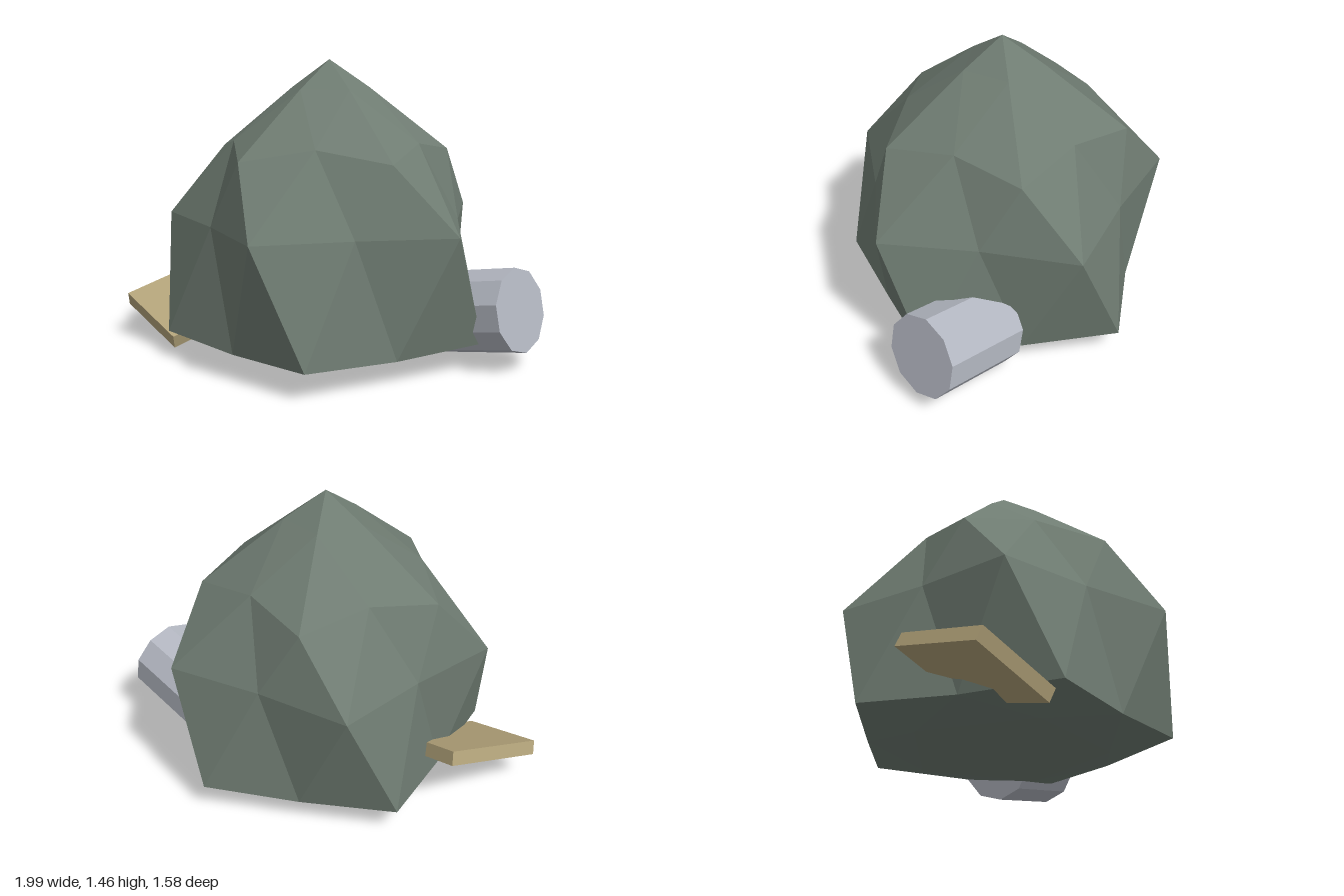
import * as THREE from 'three';

const flat = (name, color) => {
  const m = new THREE.MeshStandardMaterial({ color, flatShading: true });
  m.name = name;
  return m;
};

// Point on a ring: azimuth in degrees from +x towards +z
const OFFSET_Z = 0.015;
const ringPoint = (r, y, deg) => {
  const a = THREE.MathUtils.degToRad(deg);
  return [r * Math.cos(a), y, r * Math.sin(a) + OFFSET_Z];
};

// Faceted mound: subdivided icosahedron with each ring given its own radius and height
function moundGeometry() {
  const P = ringPoint(0, 1.467, 0);                                        // peak
  const Q = ringPoint(0, 0.045, 0);                                        // underside centre
  const cap = k => ringPoint(0.2, 1.33, 72 * k);                           // below the peak
  const upper = k => ringPoint(0.6, 1.02, 72 * k);                         // shoulders
  const saddle = k => ringPoint(0.47, 1.08, 72 * k + 36);                  // between shoulders
  const waist = m => ringPoint(m % 2 ? 0.81 : 0.635, 0.695, 36 * m + 18);  // in and out
  const foot = k => ringPoint(0.805, 0.142, 72 * k + 36);                  // outer base corners
  const notch = k => ringPoint(0.65, 0.125, 72 * k + 72);                  // between base corners
  const under = k => ringPoint(0.5, 0.072, 72 * k + 36);                   // underside ring

  const pos = [];
  const split = (a, b, c, ab, bc, ca) => {
    for (const p of [a, ab, ca, ab, b, bc, ca, bc, c, ab, bc, ca]) pos.push(...p);
  };
  for (let k = 0; k < 5; k++) {
    const n = k + 1;
    split(P, upper(n), upper(k), cap(n), saddle(k), cap(k));
    split(upper(k), upper(n), foot(k), saddle(k), waist(2 * k + 1), waist(2 * k));
    split(foot(k), upper(n), foot(n), waist(2 * k + 1), waist(2 * n), notch(k));
    split(foot(k), foot(n), Q, notch(k), under(n), under(k));
  }
  const g = new THREE.BufferGeometry();
  g.setAttribute('position', new THREE.Float32BufferAttribute(pos, 3));
  g.computeVertexNormals();
  return g;
}

export function createModel() {
  const model = new THREE.Group();
  model.name = 'scrapMound';
  const add = (name, geometry, material) => {
    const mesh = new THREE.Mesh(geometry, material);
    mesh.name = name;
    model.add(mesh);
    return mesh;
  };

  // Main mound
  add('mound', moundGeometry(), flat('grey green', 0x6f7c72));

  // Ten-sided can poking out at the front left
  const back = new THREE.Vector3(0.55, 0.21, 0.15);
  const front = new THREE.Vector3(0.83, 0.302, 0.51);
  const canGeo = new THREE.CylinderGeometry(0.205, 0.205, back.distanceTo(front), 10);
  canGeo.rotateX(Math.PI / 2);
  const can = add('can', canGeo, flat('light grey', 0xb4b8c2));
  can.position.copy(back).add(front).multiplyScalar(0.5);
  can.lookAt(front);

  // Tilted board stuck in at the back right
  const board = add('board', new THREE.BoxGeometry(0.537, 0.07, 0.46), flat('tan', 0xb3a37a));
  const along = new THREE.Vector3(0.47, 0.14, -0.22).normalize();
  const across = new THREE.Vector3(0.22, -0.135, 0.38).normalize();
  const up = new THREE.Vector3().crossVectors(across, along).normalize();
  across.crossVectors(along, up);
  board.quaternion.setFromRotationMatrix(new THREE.Matrix4().makeBasis(along, up, across));
  board.position.set(-0.655, 0.205, -0.333);

  return model;
}
